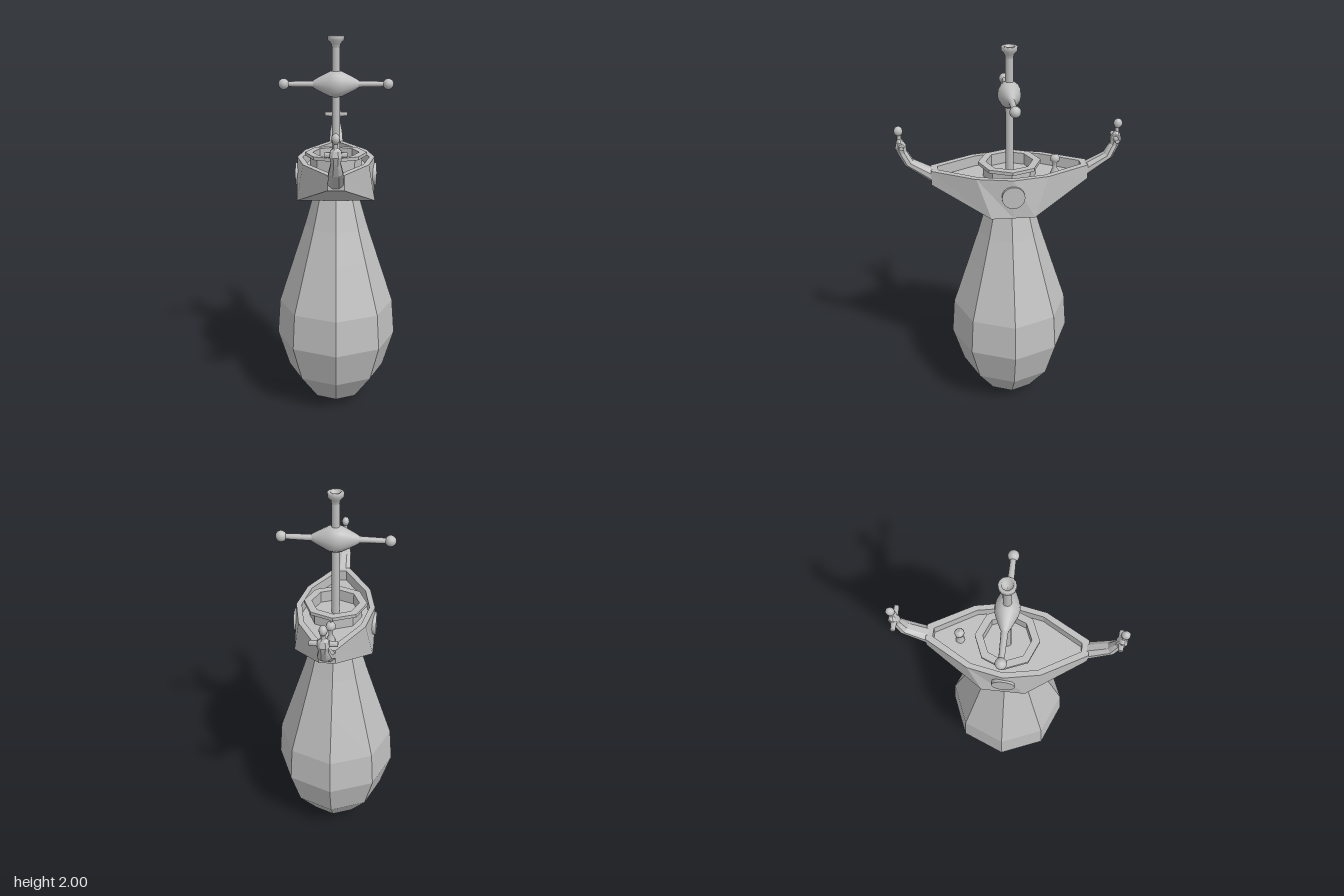
import * as THREE from 'three';

const stone = new THREE.MeshStandardMaterial({ color: 0xbfbfbf });
stone.name = 'grey stone';

function add(parent, name, geometry, x = 0, y = 0, z = 0) {
  const mesh = new THREE.Mesh(geometry, stone);
  mesh.name = name;
  mesh.position.set(x, y, z);
  parent.add(mesh);
  return mesh;
}

function faceted(geometry) {
  const g = geometry.toNonIndexed();
  g.computeVertexNormals();
  return g;
}

function lathe(profile, sides) {
  return new THREE.LatheGeometry(profile.map(p => new THREE.Vector2(...p)), sides);
}

// Skins a run of equal-length rings and closes both ends with fans
function loft(rings) {
  const n = rings[0].length, pos = rings.flat(2), idx = [];
  for (let i = 0; i < rings.length - 1; i++) {
    for (let j = 0; j < n; j++) {
      const k = (j + 1) % n, a = i * n + j, b = i * n + k;
      idx.push(a, b, a + n, b, b + n, a + n);
    }
  }
  [rings[0], rings[rings.length - 1]].forEach((ring, end) => {
    const c = pos.length / 3, s = end * (rings.length - 1) * n;
    for (let axis = 0; axis < 3; axis++) pos.push(ring.reduce((t, p) => t + p[axis], 0) / n);
    for (let j = 0; j < n; j++) {
      const k = (j + 1) % n;
      if (end) idx.push(c, s + j, s + k);
      else idx.push(c, s + k, s + j);
    }
  });
  const g = new THREE.BufferGeometry();
  g.setAttribute('position', new THREE.Float32BufferAttribute(pos, 3));
  g.setIndex(idx);
  g.computeVertexNormals();
  return g;
}

// Boat outline: middle, shoulder and tip points, mirrored both ways
function boatRing(y, xMid, xSide, zSide, xTip, zTip, yTip = y) {
  return [
    [xMid, y, 0], [xSide, y, -zSide], [xTip, yTip, -zTip],
    [-xTip, yTip, -zTip], [-xSide, y, -zSide], [-xMid, y, 0],
    [-xSide, y, zSide], [-xTip, yTip, zTip], [xTip, yTip, zTip], [xSide, y, zSide],
  ];
}

// Eight-sided section spanning an upper and a lower point
function neckRing([zUp, yUp, zLow, yLow, half]) {
  const r = 1 / Math.cos(Math.PI / 8);
  return Array.from({ length: 8 }, (_, i) => {
    const a = (i + 0.5) * Math.PI / 4, t = (1 + r * Math.sin(a)) / 2;
    return [half * r * Math.cos(a), yLow + (yUp - yLow) * t, zLow + (zUp - zLow) * t];
  });
}

// Curved neck ending in a small figure with outstretched arms
function figurehead(name, span) {
  const g = new THREE.Group();
  g.name = name;
  add(g, 'neck', faceted(loft([
    [0.39, 1.385, 0.39, 1.312, 0.04],
    [0.487, 1.435, 0.527, 1.41, 0.034],
    [0.515, 1.485, 0.558, 1.47, 0.022],
    [0.518, 1.515, 0.572, 1.505, 0.028],
    [0.53, 1.535, 0.565, 1.535, 0.026],
    [0.54, 1.55, 0.558, 1.55, 0.009],
  ].map(neckRing))));
  add(g, 'throat', new THREE.CylinderGeometry(0.01, 0.011, 0.05, 8), 0, 1.56, 0.55);
  add(g, 'head', new THREE.SphereGeometry(0.021, 10, 8), 0, 1.59, 0.552).scale.set(0.95, 1.2, 1.1);
  for (const s of [-1, 1]) {
    const arm = add(g, 'arm', new THREE.CylinderGeometry(0.016, 0.012, span, 6), s * span / 2, 1.515, 0.54);
    arm.rotation.z = s * Math.PI / 2;
  }
  return g;
}

export function createModel() {
  const model = new THREE.Group();

  // Eight-sided hanging bulb
  add(model, 'bulb', faceted(lathe([
    [0, 0.005], [0.147, 0.053], [0.26, 0.2], [0.32, 0.395], [0.306, 0.585],
    [0.22, 0.85], [0.165, 1.02], [0.118, 1.185],
  ], 8)));

  // Hollow hull: keel, sides, rim and sunken deck
  add(model, 'hull', faceted(loft([
    boatRing(1.18, 0.2, 0.2, 0.11, 0.04, 0.11),
    boatRing(1.18, 0.2, 0.2, 0.11, 0.04, 0.4, 1.31),
    boatRing(1.385, 0.2, 0.165, 0.18, 0.04, 0.4),
    boatRing(1.385, 0.172, 0.14, 0.165, 0.022, 0.365),
    boatRing(1.33, 0.172, 0.14, 0.165, 0.022, 0.365),
  ])));

  // Round plates on both flanks
  for (const s of [-1, 1]) {
    const plate = add(model, 'sidePlate', new THREE.CylinderGeometry(0.058, 0.058, 0.03, 20), s * 0.195, 1.295, 0);
    plate.rotation.z = Math.PI / 2;
  }

  // Flanged octagonal well around the mast
  add(model, 'mastWell', faceted(lathe([
    [0.135, 1.32], [0.135, 1.393], [0.16, 1.393], [0.16, 1.41],
    [0.12, 1.41], [0.12, 1.35], [0, 1.35],
  ], 8)));

  // Small knobbed post on the rear deck
  add(model, 'deckPost', lathe([
    [0.024, 1.325], [0.02, 1.345], [0.012, 1.36], [0.012, 1.39], [0.023, 1.4],
    [0.025, 1.415], [0.018, 1.43], [0, 1.434],
  ], 10)).position.z = -0.235;

  // Mast with a flared, hollow cap
  add(model, 'mast', new THREE.CylinderGeometry(0.02, 0.021, 0.63, 12), 0, 1.655, 0);
  add(model, 'mastCap', lathe([
    [0.02, 1.94], [0.024, 1.96], [0.041, 1.978], [0.041, 1.997],
    [0.036, 2], [0.026, 2], [0.022, 1.975], [0, 1.97],
  ], 12));

  // Crossbar with swollen hub and ball ends
  const bar = new THREE.Group();
  bar.name = 'crossbar';
  bar.position.y = 1.76;
  model.add(bar);
  const hub = add(bar, 'hub', lathe([
    [0.017, -0.117], [0.028, -0.1], [0.047, -0.065], [0.064, -0.03], [0.07, 0],
    [0.064, 0.03], [0.047, 0.065], [0.028, 0.1], [0.017, 0.117],
  ], 16));
  hub.rotation.z = Math.PI / 2;
  hub.scale.z = 0.85;
  for (const s of [-1, 1]) {
    const rod = add(bar, 'rod', new THREE.CylinderGeometry(0.013, 0.017, 0.16, 10), s * 0.18, 0, 0);
    rod.rotation.z = -s * Math.PI / 2;
    add(bar, 'ballEnd', new THREE.SphereGeometry(0.028, 12, 8), s * 0.264, 0, 0);
  }

  // Matching figures at bow and stern
  model.add(figurehead('bowFigure', 0.052));
  const stern = figurehead('sternFigure', 0.065);
  stern.rotation.y = Math.PI;
  model.add(stern);

  return model;
}
